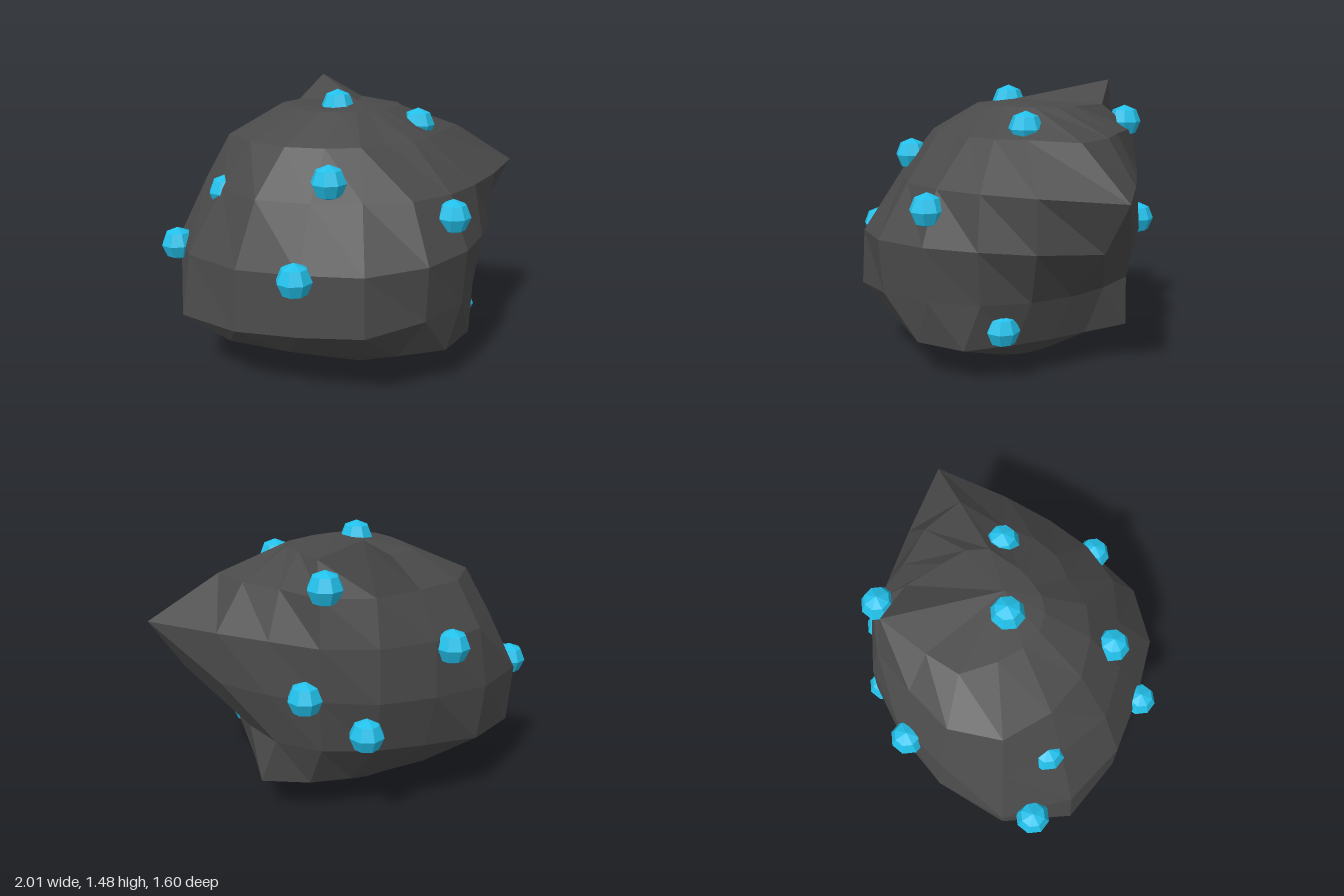
import * as THREE from 'three';

const COLS = 16;

// Rock cross-sections from bottom to top: height and radii, going round from +x towards +z
const RINGS = [
  { y: 0.05, r: [.28, .30, .32, .35, .36, .36, .35, .35, .36, .35, .32, .28, .26, .26, .27, .28] },
  { y: 0.20, tilt: -0.06, turn: 14.5, r: [.50, .54, .67, .70, .66, .66, .72, .84, .86, .70, .58, .50, .50, .56, .65, .52] },
  { y: 0.44, tilt: 0.1, r: [.57, .60, .66, .72, .78, .84, .82, .89, 1.0, .96, .84, .71, .68, .66, .63, .58] },
  { y: 0.72, tilt: 0.06, r: [.83, .74, .70, .74, .80, .82, .80, .87, .95, .98, .87, .78, .75, .70, .69, .74] },
  { y: 0.99, r: [1.005, .75, .65, .63, .63, .60, .65, .73, .76, .82, .82, .76, .73, .70, .67, .75] },
  { y: 1.22, r: [.63, .43, .40, .38, .35, .41, .46, .53, .60, .69, .69, .64, .67, .66, .56, .59] },
  { y: 1.36, lift: 1.2, turn: 11.5, r: [.25, .17, .15, .14, .15, .18, .22, .26, .29, .35, .46, .48, .60, .48, .34, .30] },
];

function rockGeometry() {
  const pos = [];
  for (const { y, r, tilt = 0, lift = 0, turn = 7 } of RINGS) {
    r.forEach((radius, i) => {
      const a = THREE.MathUtils.degToRad(turn) + (i / COLS) * Math.PI * 2;
      const x = radius * Math.cos(a);
      // Tilt the side bulge and raise the top peak
      const dy = tilt * Math.min(x, 0) + lift * Math.max(0, radius - 0.5);
      pos.push(x, y + dy, radius * Math.sin(a));
    });
  }
  const bottom = pos.length / 3;
  const top = bottom + 1;
  pos.push(0, 0, 0, 0, 1.39, 0);

  const index = [];
  const last = (RINGS.length - 1) * COLS;
  for (let i = 0; i < COLS; i++) {
    const n = (i + 1) % COLS;
    index.push(bottom, i, n, top, last + n, last + i);
    for (let j = 0; j < last; j += COLS) {
      index.push(j + i, j + COLS + i, j + COLS + n);
      index.push(j + i, j + COLS + n, j + n);
    }
  }
  const geo = new THREE.BufferGeometry();
  geo.setAttribute('position', new THREE.Float32BufferAttribute(pos, 3));
  geo.setIndex(index);
  geo.computeVertexNormals();
  return geo;
}

// Centres of the small nodules set into the rock
const NODULES = [
  [.15, .89, .65], [-.65, .66, .49], [-.41, 1.08, .40], [-.71, .96, -.15],
  [-.92, .66, -.34], [-.10, 1.37, -.04], [.29, 1.265, .15], [.41, .29, .39],
  [.29, 1.26, -.55], [.40, .73, -.56], [.14, .55, -.70], [-.30, .95, -.72],
];

export function createModel() {
  const group = new THREE.Group();

  const rock = new THREE.Mesh(
    rockGeometry(),
    new THREE.MeshStandardMaterial({ color: 0x4a4a4a, flatShading: true })
  );
  rock.name = 'rock';
  group.add(rock);

  const nodules = new THREE.Group();
  nodules.name = 'oreNodules';
  const noduleGeo = new THREE.SphereGeometry(0.09, 8, 4);
  const noduleMat = new THREE.MeshStandardMaterial({ color: 0x22c0ea, flatShading: true });
  NODULES.forEach((p, i) => {
    const nodule = new THREE.Mesh(noduleGeo, noduleMat);
    nodule.name = `oreNodule${i + 1}`;
    nodule.position.set(...p);
    nodules.add(nodule);
  });
  group.add(nodules);

  return group;
}
